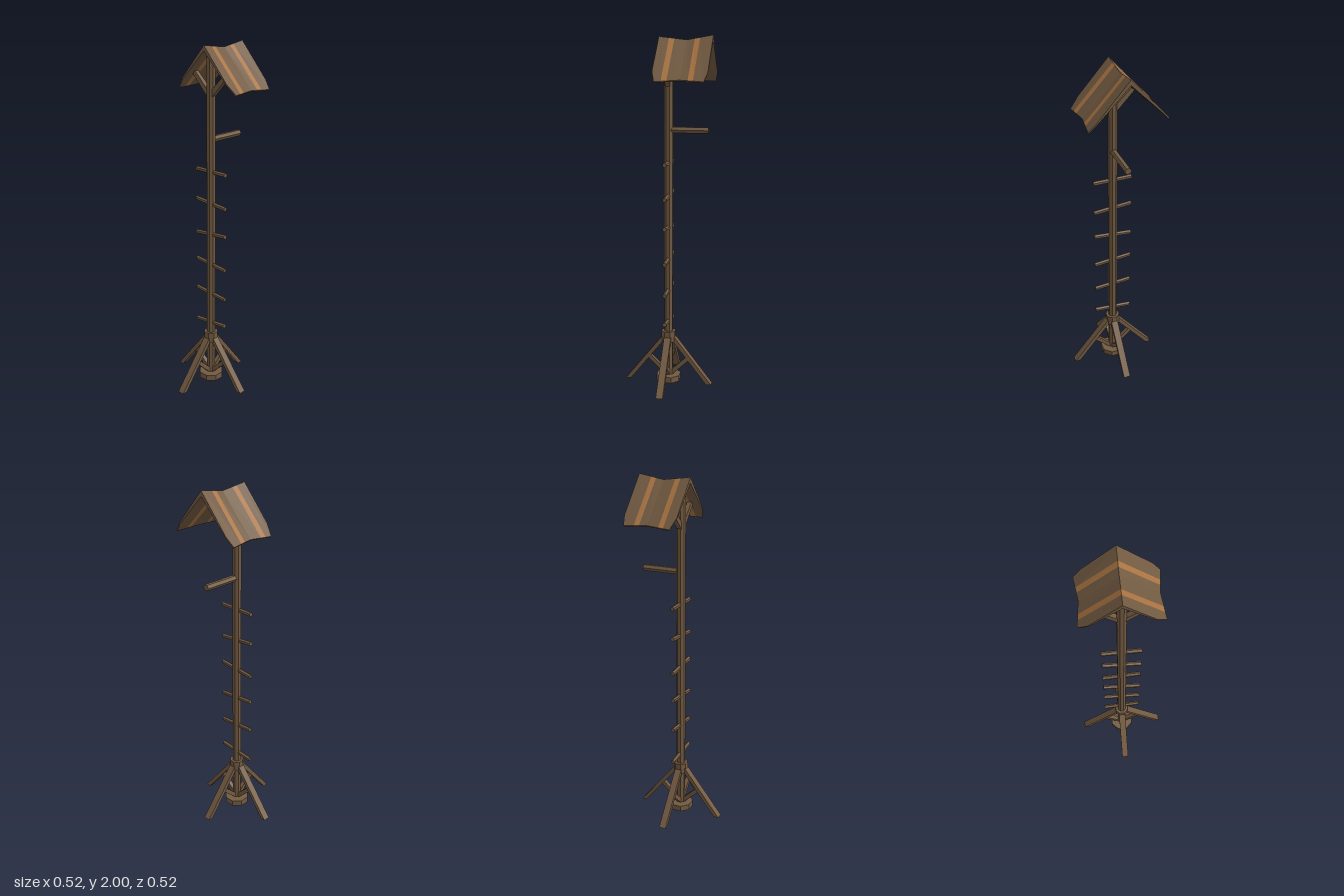
import * as THREE from 'three';

const wood = new THREE.MeshStandardMaterial({ color: 0x735b42, flatShading: true, name: 'weathered wood' });
const stripe = new THREE.MeshStandardMaterial({ color: 0xaa7442, flatShading: true, name: 'orange wood' });

function add(parent, name, geometry, material = wood) {
  const mesh = new THREE.Mesh(geometry, material);
  mesh.name = name;
  parent.add(mesh);
  return mesh;
}

// Round pole between two points
function pole(parent, name, from, to, radius, sides) {
  const a = new THREE.Vector3(...from), b = new THREE.Vector3(...to);
  const mesh = add(parent, name, new THREE.CylinderGeometry(radius, radius, a.distanceTo(b), sides));
  mesh.position.copy(a).add(b).multiplyScalar(0.5);
  mesh.quaternion.setFromUnitVectors(new THREE.Vector3(0, 1, 0), b.sub(a).normalize());
  return mesh;
}

// Flat-sided timber: an outline in x-y given an even thickness in z
function timber(parent, name, outline, width) {
  const shape = new THREE.Shape(outline.map(([x, y]) => new THREE.Vector2(x, y)));
  const geometry = new THREE.ExtrudeGeometry(shape, { depth: width, bevelEnabled: false });
  return add(parent, name, geometry.translate(0, 0, -width / 2));
}

// Sagging gable roof, lofted along x from chevron cross-sections
function roofGeometry() {
  // x, ridge height, eave z, eave height
  const keys = [
    [-0.055, 1.995, 0.165, 1.81], [-0.035, 1.992, 0.213, 1.757], [0.1, 1.975, 0.197, 1.765],
    [0.23, 1.997, 0.213, 1.757], [0.245, 2.0, 0.172, 1.805],
  ];
  const cuts = [-0.055, -0.035, 0.002, 0.032, 0.1, 0.144, 0.173, 0.23, 0.245];
  const striped = [2, 5];

  const section = (x) => {
    let i = 0;
    while (i < keys.length - 2 && x > keys[i + 1][0]) i++;
    const t = (x - keys[i][0]) / (keys[i + 1][0] - keys[i][0]);
    const [ridge, z, eave] = [1, 2, 3].map((k) => THREE.MathUtils.lerp(keys[i][k], keys[i + 1][k], t));
    return [
      [x, eave, -z], [x, ridge, 0], [x, eave, z],
      [x, eave - 0.006, z - 0.005], [x, ridge - 0.03, 0], [x, eave - 0.006, -z + 0.005],
    ];
  };

  const positions = [];
  const geometry = new THREE.BufferGeometry();
  const quad = (a, b, c, d) => positions.push(...a, ...b, ...c, ...a, ...c, ...d);
  const sections = cuts.map(section);
  for (let i = 0; i < sections.length - 1; i++) {
    const a = sections[i], b = sections[i + 1], start = positions.length / 3;
    for (let j = 0; j < 6; j++) {
      const k = (j + 1) % 6;
      quad(a[j], a[k], b[k], b[j]);
    }
    geometry.addGroup(start, positions.length / 3 - start, striped.includes(i) ? 1 : 0);
  }
  // Gable ends
  const start = positions.length / 3;
  const s = sections[0], e = sections[sections.length - 1];
  quad(e[0], e[1], e[4], e[5]);
  quad(e[1], e[2], e[3], e[4]);
  quad(s[5], s[4], s[1], s[0]);
  quad(s[4], s[3], s[2], s[1]);
  geometry.addGroup(start, positions.length / 3 - start, 0);

  geometry.setAttribute('position', new THREE.Float32BufferAttribute(positions, 3));
  geometry.computeVertexNormals();
  return geometry;
}

export function createModel() {
  const model = new THREE.Group();
  model.name = 'roofedClimbingPole';

  // Central post with its base disc and collar
  const post = pole(model, 'post', [0, 0.005, 0], [0, 1.95, 0], 0.026, 8);
  post.rotateY(Math.PI / 8);
  const base = pole(model, 'baseDisc', [0, 0.01, 0], [0, 0.045, 0], 0.073, 8);
  base.rotateY(Math.PI / 8);
  const collar = pole(model, 'collar', [0, 0.25, 0], [0, 0.315, 0], 0.042, 8);
  collar.rotateY(Math.PI / 8);

  // Four splayed legs, each with a diagonal brace
  for (let i = 0; i < 4; i++) {
    const support = new THREE.Group();
    support.name = 'legSupport';
    support.rotation.y = i * Math.PI / 2;
    timber(support, 'leg', [[0.228, 0], [0.258, 0], [0.03, 0.29], [0, 0.29]], 0.04);
    timber(support, 'legBrace', [[0.015, 0.035], [0.132, 0.148], [0.113, 0.164], [0.015, 0.07]], 0.024);
    model.add(support);
  }

  // Climbing rungs, each slightly tilted: height and rise of the back end
  const rungs = [[0.375, -0.01], [0.565, 0.008], [0.75, 0.01], [0.935, -0.01], [1.12, 0.01], [1.305, 0]];
  for (const [y, rise] of rungs) {
    pole(model, 'rung', [0, y - rise, 0.11], [0, y + rise, -0.11], 0.013, 6);
  }

  // Side arm
  pole(model, 'sideArm', [0, 1.49, 0], [0.225, 1.49, 0], 0.019, 6);

  // Roof and the two struts under it
  for (const side of [-1, 1]) {
    const strut = timber(model, 'roofStrut', [[0, 1.715], [0.022, 1.725], [0.125, 1.835], [0.108, 1.85], [0, 1.745]], 0.026);
    strut.rotation.y = side * Math.PI / 2;
  }
  add(model, 'roof', roofGeometry(), [wood, stripe]);

  return model;
}
